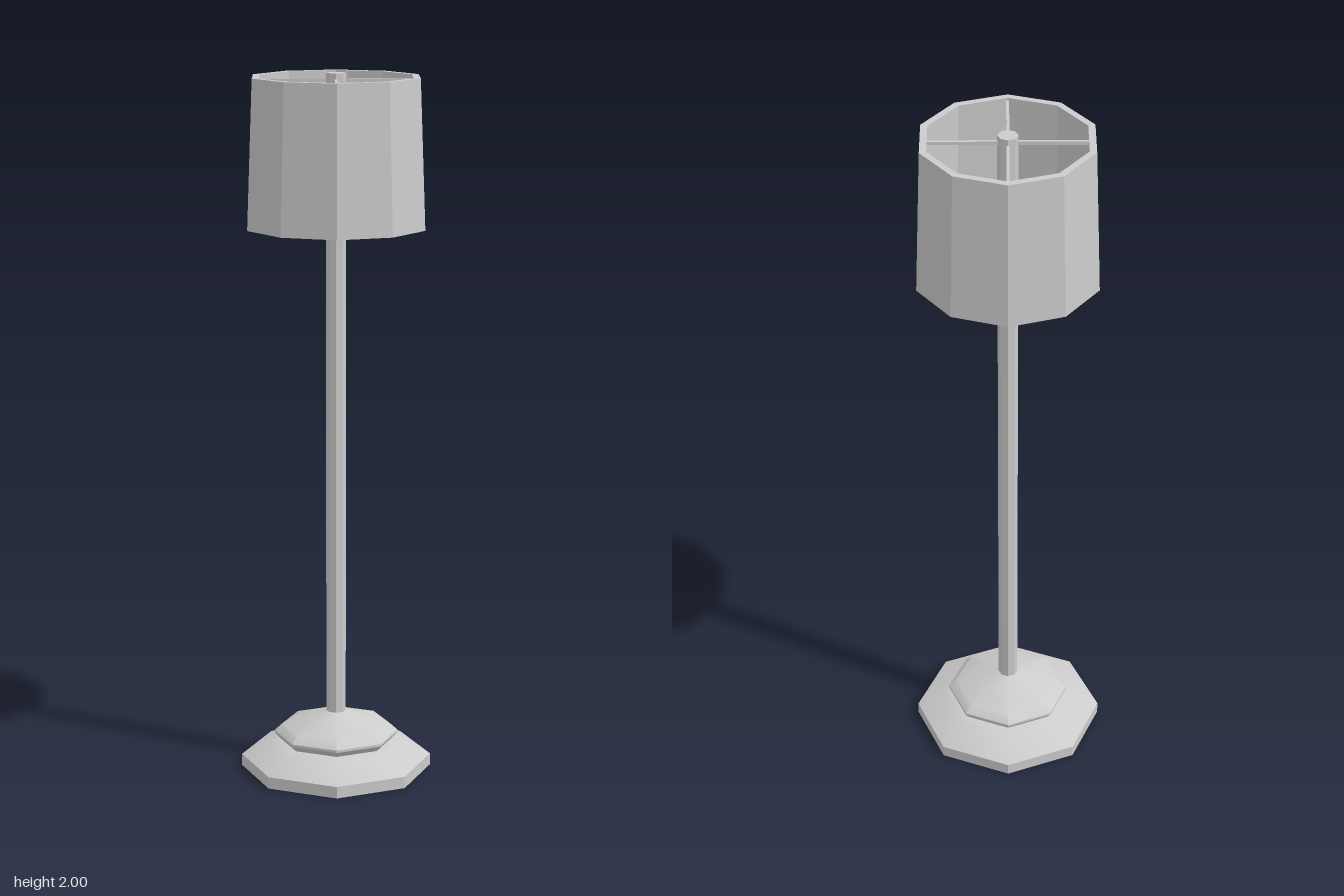
import * as THREE from 'three';
import { toCreasedNormals } from 'three/addons/utils/BufferGeometryUtils.js';

export function createModel() {
  const model = new THREE.Group();
  const grey = new THREE.MeshStandardMaterial({ color: 0xcccccc });
  grey.name = 'plain grey';

  function add(name, geometry) {
    const mesh = new THREE.Mesh(geometry, grey);
    mesh.name = name;
    model.add(mesh);
    return mesh;
  }

  // Faceted turning: steep sides stay flat, shallow slopes blend smoothly
  function turned(name, profile, sides) {
    const points = profile.map(([r, y]) => new THREE.Vector2(r, y));
    return add(name, toCreasedNormals(new THREE.LatheGeometry(points, sides), 0.52));
  }

  // Wide octagonal foot
  turned('foot', [[0, 0], [0.273, 0], [0.273, 0.034], [0.19, 0.075], [0.163, 0.083], [0, 0.083]], 8);

  // Raised collar on the foot, sweeping up to the pole
  turned('collar', [
    [0.163, 0.083], [0.178, 0.1], [0.178, 0.107], [0.157, 0.126], [0.075, 0.15], [0.028, 0.168],
  ], 8);

  // Pole, with its closed top just above the shade
  turned('pole', [[0.028, 0.16], [0.028, 2], [0, 2]], 8);

  // Ten-sided hollow shade with a thick wall
  turned('shade', [
    [0.238, 1.575], [0.257, 1.575], [0.241, 1.99], [0.221, 1.99], [0.238, 1.575],
  ], 10);

  // Cross of spokes holding the shade
  const spokes = [['sideSpokes', 0.425, 0.008], ['frontBackSpokes', 0.008, 0.442]];
  for (const [name, width, depth] of spokes) {
    add(name, new THREE.BoxGeometry(width, 0.01, depth)).position.y = 1.978;
  }

  return model;
}
